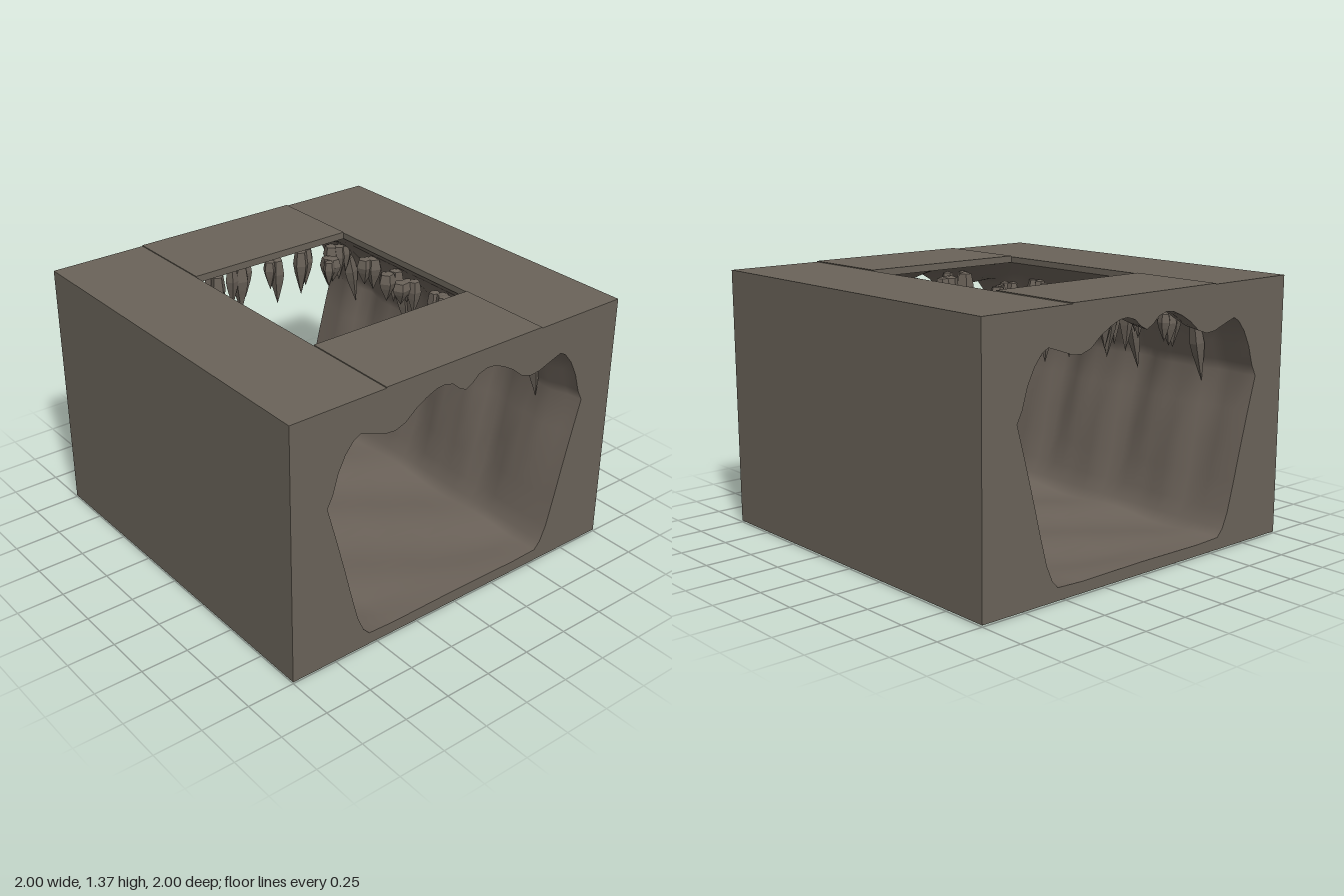
import * as THREE from 'three';

const HX = 0.485, HZ = 0.475;      // half size of the skylight
const TOP = 1.362, BASE = 0.008, LIP = 1.33;

const rock = new THREE.MeshStandardMaterial({ color: 0x6a6359, side: THREE.DoubleSide });
rock.name = 'outer rock';
const cave = new THREE.MeshStandardMaterial({ color: 0x6b6259, side: THREE.DoubleSide });
cave.name = 'cave rock';
const drip = new THREE.MeshStandardMaterial({ color: 0x686057, flatShading: true });
drip.name = 'stalactite rock';

// half outline of the cave mouth as [z, y], floor centre to ceiling centre
const half = [
  [0, 0.07], [0.2, 0.068], [0.4, 0.066], [0.55, 0.072], [0.585, 0.11], [0.62, 0.19], [0.66, 0.34],
  [0.70, 0.5], [0.75, 0.69], [0.80, 0.87], [0.77, 0.93], [0.74, 1.03], [0.70, 1.11], [0.655, 1.165],
  [0.62, 1.185], [0.56, 1.165], [HZ, 1.135], [0.42, 1.13], [0.36, 1.15], [0.30, 1.20], [0.24, 1.235],
  [0.18, 1.26], [0.13, 1.265], [0.08, 1.25], [0.04, 1.215], [0, 1.195],
];
const outline = [...half, ...half.slice(1, -1).reverse().map(([z, y]) => [-z, y])];

let seed = 17;
const rand = () => (seed = (seed * 16807) % 2147483647) / 2147483647;
const smooth = THREE.MathUtils.smoothstep;

function add(parent, name, geometry, material) {
  const mesh = new THREE.Mesh(geometry, material);
  mesh.name = name;
  parent.add(mesh);
  return mesh;
}

// ceiling height rises from the mouths to the skylight lip
function ceilingY(x, z, y) {
  const alongX = smooth(1 - Math.abs(x), 0, 1 - HX);
  const alongZ = 1 - smooth(Math.abs(z), HZ, 0.66);
  return THREE.MathUtils.lerp(y, LIP, alongX * alongZ);
}

// point on the cave lining
function cavePoint(x, [z, y]) {
  const inside = smooth(1 - Math.abs(x), 0, 0.25);
  const s = Math.sign(z);
  if (y < 0.08) {
    return [x, y + inside * (0.012 * Math.sin(9 * x + 7 * z) - 0.01), z];
  }
  if (Math.abs(z) > 0.57 && y < 1.17) {
    const ripple = 0.02 * Math.sin(11 * x + s) + 0.012 * Math.sin(23 * x + 2 * s + 3 * y);
    const pull = 0.03 * smooth(y, 0.1, 0.85);
    return [x, y, z - s * inside * (pull + ripple * smooth(y, 0.06, 0.4))];
  }
  return [x, ceilingY(x, z, y), z];
}

function caveLining() {
  const side = [0.555, 0.63, 0.7, 0.77, 0.84, 0.92, 1];
  const mid = Array.from({ length: 15 }, (_, i) => -HX + (2 * HX * i) / 14);
  const xs = [...side.map(v => -v).reverse(), ...mid, ...side];
  const n = outline.length;
  const pos = [], index = [];
  xs.forEach(x => outline.forEach(p => pos.push(...cavePoint(x, p))));
  for (let i = 0; i < xs.length - 1; i++) {
    for (let j = 0; j < n; j++) {
      const k = (j + 1) % n;
      const cx = (xs[i] + xs[i + 1]) / 2, cz = (outline[j][0] + outline[k][0]) / 2;
      // leave the skylight open
      if (outline[j][1] > 1 && Math.abs(cx) < HX && Math.abs(cz) < HZ) continue;
      const a = i * n + j, b = i * n + k, c = a + n, d = b + n;
      index.push(a, b, c, b, d, c);
    }
  }
  // faces look into the cave
  for (let i = 0; i < index.length; i += 3) [index[i + 1], index[i + 2]] = [index[i + 2], index[i + 1]];
  const g = new THREE.BufferGeometry();
  g.setAttribute('position', new THREE.Float32BufferAttribute(pos, 3));
  g.setIndex(index);
  // the floor runs toward -z first, so check the floor faces up
  const p = i => new THREE.Vector3(...pos.slice(i * 3, i * 3 + 3));
  const normal = p(index[1]).sub(p(index[0])).cross(p(index[2]).sub(p(index[0])));
  if (normal.y < 0) for (let i = 0; i < index.length; i += 3) [index[i + 1], index[i + 2]] = [index[i + 2], index[i + 1]];
  g.setIndex(index);
  g.computeVertexNormals();
  return g;
}

// faceted spike with a swollen belly, hanging from the origin
function spike(radius, length) {
  const pts = [[0.001, -1], [0.3, -0.82], [0.8, -0.5], [1, -0.3], [0.75, 0], [0.001, 0.05]]
    .map(([r, y]) => new THREE.Vector2(r * radius, y * length));
  return new THREE.LatheGeometry(pts, 5);
}

function cluster(parent, x, z, top, tip) {
  const count = 2 + Math.floor(rand() * 2);
  for (let i = 0; i < count; i++) {
    const length = (top - tip) * (i === 0 ? 1 : 0.55 + 0.35 * rand());
    const m = add(parent, 'stalactite', spike(0.032 + 0.018 * rand(), length), drip);
    m.position.set(x + (rand() - 0.5) * 0.1, top, z + (i ? (rand() - 0.5) * 0.13 : 0));
    m.rotation.y = rand() * 6;
  }
}

export function createModel() {
  const model = new THREE.Group();
  model.name = 'caveBlock';

  // front and back walls
  for (const s of [1, -1]) {
    const wall = add(model, s > 0 ? 'frontWall' : 'backWall', new THREE.PlaneGeometry(2, TOP - BASE), rock);
    wall.position.set(0, (TOP + BASE) / 2, s);
    if (s < 0) wall.rotation.y = Math.PI;
  }

  // end walls with the cave mouths
  for (const s of [1, -1]) {
    const shape = new THREE.Shape([[-1, BASE], [1, BASE], [1, TOP], [-1, TOP]].map(p => new THREE.Vector2(...p)));
    shape.holes.push(new THREE.Path(outline.map(p => new THREE.Vector2(...p))));
    const wall = add(model, s > 0 ? 'leftMouthWall' : 'rightMouthWall', new THREE.ShapeGeometry(shape), rock);
    wall.position.x = s;
    wall.rotation.y = s * Math.PI / 2;
  }

  // roof with the skylight
  const roof = new THREE.Shape([[-1, -1], [1, -1], [1, 1], [-1, 1]].map(p => new THREE.Vector2(...p)));
  roof.holes.push(new THREE.Path([[-HX, -HZ], [-HX, HZ], [HX, HZ], [HX, -HZ]].map(p => new THREE.Vector2(...p))));
  const roofMesh = add(model, 'roof', new THREE.ShapeGeometry(roof), rock);
  roofMesh.rotation.x = -Math.PI / 2;
  roofMesh.position.y = TOP;

  // raised roof panels, skylight lip and base runners
  const lipH = TOP - LIP;
  for (const s of [1, -1]) {
    const panel = add(model, 'roofPanel', new THREE.BoxGeometry(1 - HX, 0.006, 2 * HZ), rock);
    panel.position.set(s * (1 + HX) / 2, TOP + 0.002, 0);
    const lipX = add(model, 'skylightLip', new THREE.PlaneGeometry(2 * HZ, lipH), rock);
    lipX.position.set(s * HX, LIP + lipH / 2, 0);
    lipX.rotation.y = -s * Math.PI / 2;
    const lipZ = add(model, 'skylightLip', new THREE.PlaneGeometry(2 * HX, lipH), rock);
    lipZ.position.set(0, LIP + lipH / 2, s * HZ);
    if (s > 0) lipZ.rotation.y = Math.PI;
    const runner = add(model, 'baseRunner', new THREE.BoxGeometry(1.93, BASE, 0.05), rock);
    runner.position.set(0, BASE / 2, s * 0.945);
  }
  const bottom = add(model, 'underside', new THREE.PlaneGeometry(2, 2), rock);
  bottom.rotation.x = Math.PI / 2;
  bottom.position.y = BASE;

  add(model, 'caveLining', caveLining(), cave);

  // stalactites around the skylight
  const drips = new THREE.Group();
  drips.name = 'stalactites';
  model.add(drips);
  for (const s of [1, -1]) {
    for (const z of [-0.6, -0.45, -0.27, -0.1, 0.1, 0.27, 0.47, 0.58]) {
      cluster(drips, s * (0.56 + 0.14 * rand()), z, Math.abs(z) > 0.4 ? 1.19 : 1.27, 0.98 + 0.06 * rand());
    }
    for (const x of [-0.38, -0.2, 0, 0.2, 0.38]) {
      cluster(drips, x, s * (0.54 + 0.06 * rand()), 1.23, 1.0 + 0.06 * rand());
    }
    // drips hugging the side walls
    for (const x of [-0.7, -0.25, 0.3, 0.75]) {
      const m = add(drips, 'wallDrip', spike(0.04, 0.3), drip);
      m.position.set(x, 1.1, s * 0.68);
      m.rotation.x = -s * 0.2;
    }
  }
  return model;
}
